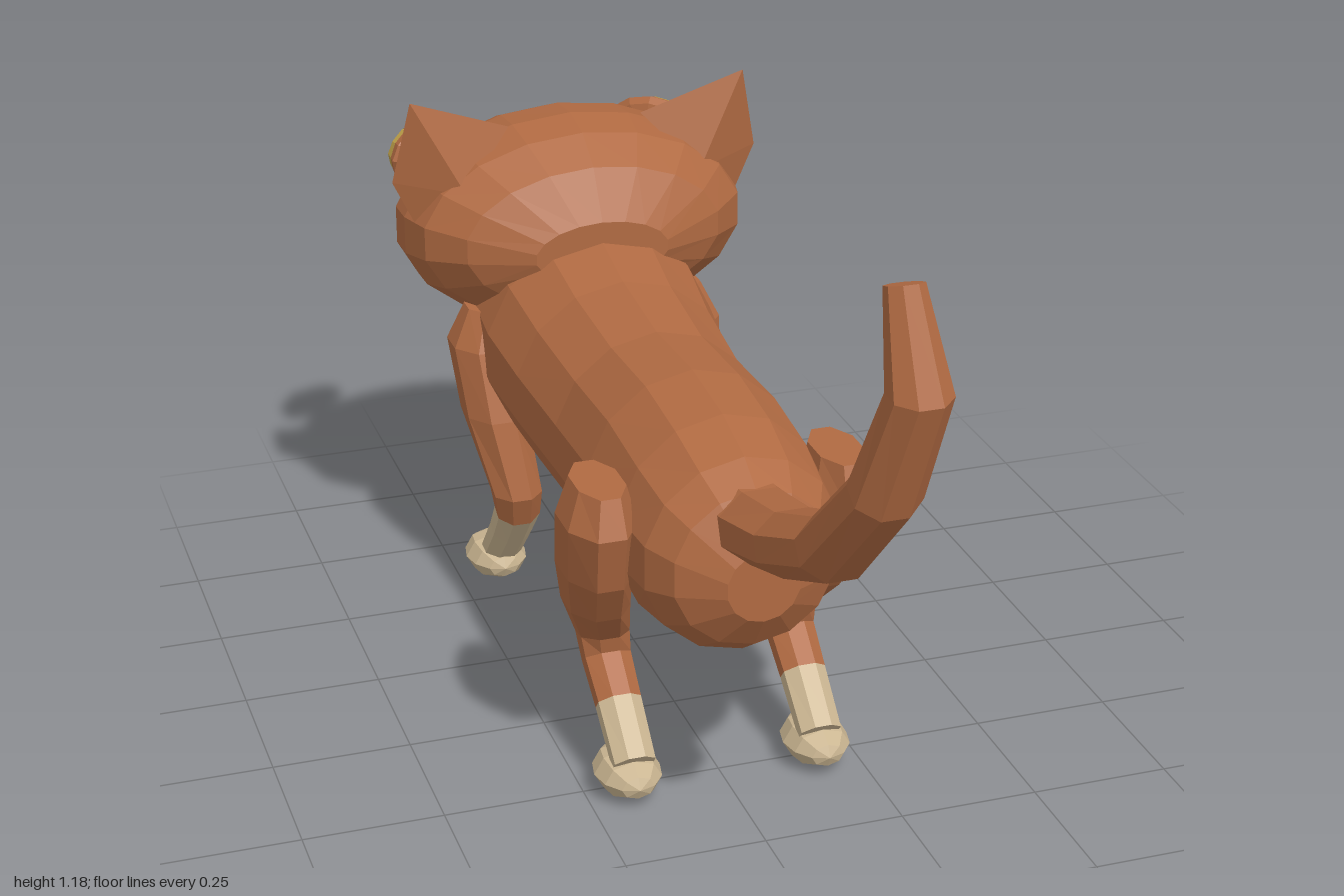
import * as THREE from 'three';
import { ConvexGeometry } from 'three/addons/geometries/ConvexGeometry.js';

const mat = (name, color, side = THREE.FrontSide) =>
  Object.assign(new THREE.MeshStandardMaterial({ color, flatShading: true, side }), { name });

// Skin rings [x, y, z, halfWidth, halfDepth, tiltDegrees]; tilt 0 travels along +z, 90 travels down.
// Triangles whose centre passes isPatch use the second material.
function loft(name, rings, sides, materials, isPatch = () => false) {
  const centres = rings.map(([x, y, z]) => new THREE.Vector3(x, y, z));
  const pts = rings.map(([x, y, z, ru, rv, tilt = 0]) => {
    const t = THREE.MathUtils.degToRad(tilt);
    return Array.from({ length: sides }, (_, j) => {
      const a = ((j + 0.5) / sides) * Math.PI * 2;
      const v = Math.sin(a) * rv;
      return new THREE.Vector3(x + Math.cos(a) * ru, y + v * Math.cos(t), z + v * Math.sin(t));
    });
  });
  const lists = [[], []];
  const tri = (a, b, c) => {
    const m = new THREE.Vector3().add(a).add(b).add(c).divideScalar(3);
    lists[isPatch(m) ? 1 : 0].push(...a.toArray(), ...b.toArray(), ...c.toArray());
  };
  const last = rings.length - 1;
  for (let j = 0; j < sides; j++) {
    const k = (j + 1) % sides;
    for (let i = 0; i < last; i++) {
      tri(pts[i][j], pts[i][k], pts[i + 1][j]);
      tri(pts[i][k], pts[i + 1][k], pts[i + 1][j]);
    }
    tri(centres[0], pts[0][k], pts[0][j]);
    tri(centres[last], pts[last][j], pts[last][k]);
  }
  const geo = new THREE.BufferGeometry();
  geo.setAttribute('position', new THREE.Float32BufferAttribute(lists[0].concat(lists[1]), 3));
  geo.addGroup(0, lists[0].length / 3, 0);
  geo.addGroup(lists[0].length / 3, lists[1].length / 3, 1);
  geo.computeVertexNormals();
  const mesh = new THREE.Mesh(geo, materials);
  mesh.name = name;
  return mesh;
}

// Low-poly ellipsoid with its poles along z
function blob(name, material, pos, radii, w = 8, h = 6) {
  const geo = new THREE.SphereGeometry(1, w, h).rotateX(Math.PI / 2).scale(...radii);
  const mesh = new THREE.Mesh(geo, material);
  mesh.position.set(...pos);
  mesh.name = name;
  return mesh;
}

export function createModel() {
  const cat = new THREE.Group();
  cat.name = 'cat';
  const fur = mat('brown fur', 0xb06a42);
  const cream = mat('cream fur', 0xcbb692);
  const pink = mat('pink skin', 0xc47c86, THREE.DoubleSide);
  const gold = mat('gold iris', 0xbd9f48);
  const black = mat('black pupil', 0x2a2626);
  const coat = [fur, cream];

  // Profile rows [z, top, bottom, halfWidth]
  const profile = (rows) => rows.map(([z, top, bottom, w]) => [0, (top + bottom) / 2, z, w, (top - bottom) / 2]);

  // Torso with cream chest
  cat.add(loft('body', profile([
    [-0.74, 0.6, 0.5, 0.1], [-0.66, 0.72, 0.43, 0.18], [-0.56, 0.76, 0.35, 0.22],
    [-0.45, 0.755, 0.315, 0.225], [-0.3, 0.72, 0.305, 0.21], [-0.1, 0.7, 0.3, 0.195],
    [0.1, 0.71, 0.305, 0.195], [0.26, 0.695, 0.283, 0.192], [0.37, 0.665, 0.305, 0.178],
    [0.43, 0.63, 0.345, 0.145], [0.475, 0.54, 0.41, 0.065],
  ]), 14, coat, (p) => p.z < -0.56 && p.y < 0.58));

  // Head with cream jaw
  cat.add(loft('head', profile([
    [-0.965, 0.65, 0.565, 0.11], [-0.93, 0.745, 0.55, 0.18], [-0.87, 0.83, 0.53, 0.245],
    [-0.8, 0.9, 0.515, 0.295], [-0.72, 0.93, 0.508, 0.33], [-0.63, 0.94, 0.52, 0.335],
    [-0.55, 0.925, 0.55, 0.315], [-0.48, 0.88, 0.6, 0.25], [-0.425, 0.79, 0.67, 0.13],
  ]), 18, coat, (p) => p.z < -0.66 && p.y < 0.615));

  // Tail
  cat.add(loft('tail', [
    [0, 0.57, 0.38, 0.08, 0.065, -10], [0.005, 0.575, 0.45, 0.08, 0.065, -18],
    [0.01, 0.61, 0.59, 0.075, 0.058, -24], [0.02, 0.67, 0.735, 0.068, 0.058, -38],
    [0.04, 0.83, 0.88, 0.06, 0.055, -58], [0.06, 1.015, 0.95, 0.052, 0.05, -84],
    [0.05, 1.17, 0.902, 0.032, 0.028, -107],
  ], 8, coat));

  // Nose and mouth
  cat.add(blob('nose', pink, [0, 0.64, -0.978], [0.045, 0.025, 0.022]));
  cat.add(blob('mouth', black, [0, 0.605, -0.972], [0.014, 0.018, 0.01]));

  for (const s of [-1, 1]) {
    const mirror = (rows) => rows.map(([x, ...rest]) => [x * s, ...rest]);

    // Muzzle pads
    cat.add(blob('muzzlePad', cream, [s * 0.085, 0.592, -0.943], [0.08, 0.032, 0.045]));

    // Front leg and paw
    cat.add(loft('frontLeg', mirror([
      [0.19, 0.6, -0.56, 0.045, 0.05, 90], [0.205, 0.53, -0.555, 0.065, 0.08, 90],
      [0.195, 0.4, -0.515, 0.062, 0.08, 90], [0.17, 0.25, -0.455, 0.05, 0.048, 95],
      [0.165, 0.2, -0.47, 0.045, 0.04, 118], [0.165, 0.14, -0.52, 0.042, 0.037, 128],
      [0.17, 0.055, -0.59, 0.04, 0.033, 128],
    ]), 8, coat, (p) => p.y < 0.185));
    cat.add(blob('frontPaw', cream, [s * 0.175, 0.042, -0.608], [0.06, 0.042, 0.078]));

    // Hind leg and paw
    cat.add(loft('hindLeg', mirror([
      [0.215, 0.595, 0.24, 0.045, 0.085, 90], [0.22, 0.53, 0.248, 0.066, 0.105, 90],
      [0.215, 0.42, 0.213, 0.062, 0.108, 90], [0.2, 0.33, 0.17, 0.058, 0.085, 90],
      [0.175, 0.245, 0.128, 0.048, 0.05, 82], [0.172, 0.2, 0.14, 0.045, 0.038, 52],
      [0.172, 0.145, 0.21, 0.042, 0.036, 40], [0.172, 0.07, 0.3, 0.04, 0.032, 40],
    ]), 8, coat, (p) => p.y < 0.145));
    cat.add(blob('hindPaw', cream, [s * 0.175, 0.042, 0.268], [0.06, 0.042, 0.078]));

    // Ear wedge and its pink lining
    const v = (x, y, z) => new THREE.Vector3(s * x, y, z);
    const tip = v(0.325, 1.01, -0.57), inner = v(0.13, 0.935, -0.6), outer = v(0.358, 0.85, -0.595);
    const front = v(0.25, 0.86, -0.645);
    const ear = new THREE.Mesh(new ConvexGeometry(
      [tip, inner, outer, front, v(0.32, 0.77, -0.59), v(0.23, 0.83, -0.54)]), fur);
    ear.name = 'ear';
    const lining = new THREE.BufferGeometry().setFromPoints([tip, inner, front, tip, front, outer].map((p) =>
      p.clone().lerp(front, 0.08).add(new THREE.Vector3(0, 0.002, -0.006))));
    lining.computeVertexNormals();
    const earLining = new THREE.Mesh(lining, pink);
    earLining.name = 'earLining';
    cat.add(ear, earLining);

    // Eye: brown lid, gold iris, dark pupil and glint
    const eye = new THREE.Group();
    eye.name = 'eye';
    eye.position.set(s * 0.237, 0.817, -0.857);
    eye.lookAt(s * (0.237 + 0.6), 0.817 + 0.17, -0.857 - 0.78);
    eye.add(
      blob('eyelid', fur, [0, 0, 0], [0.092, 0.062, 0.03], 12, 6),
      blob('iris', gold, [0, 0, 0.012], [0.082, 0.054, 0.032], 12, 6),
      blob('pupil', black, [0, 0, 0.038], [0.03, 0.036, 0.012], 10, 6),
      blob('glint', cream, [-0.008, 0.014, 0.048], [0.006, 0.006, 0.004], 6, 4),
    );
    cat.add(eye);
  }
  return cat;
}
